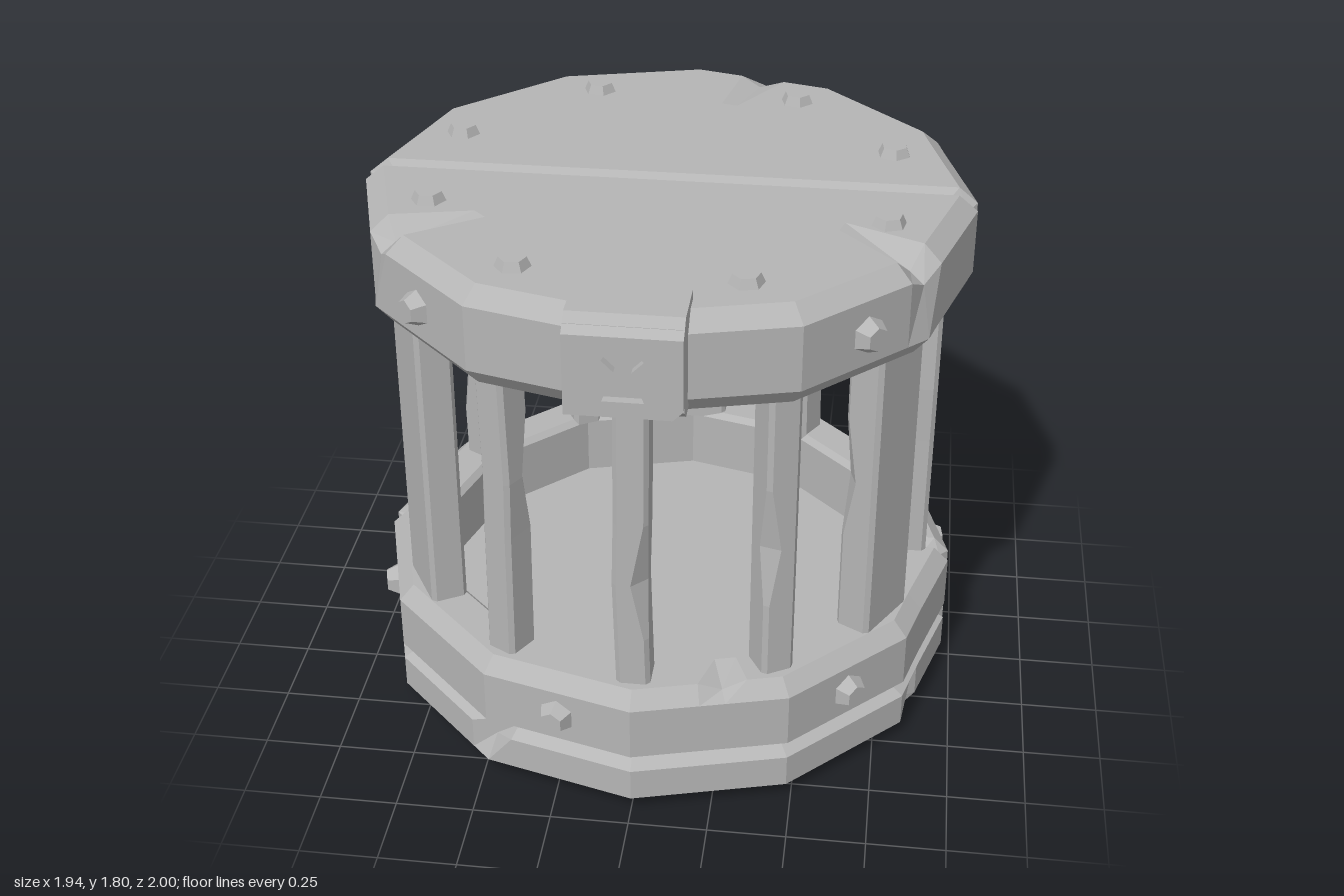
import * as THREE from 'three';

const CENTER_Z = -0.03;   // axis of the drum
const BAR_RADIUS = 0.83;
const rad = THREE.MathUtils.degToRad;

const iron = new THREE.MeshStandardMaterial({ color: 0xb5b5b5 });
iron.name = 'iron';

function add(parent, name, geometry) {
  const flat = geometry.index ? geometry.toNonIndexed() : geometry;
  flat.computeVertexNormals();
  const mesh = new THREE.Mesh(flat, iron);
  mesh.name = name;
  parent.add(mesh);
  return mesh;
}

// Skin over a list of equally long cross-sections
function loft(sections) {
  const n = sections[0].length;
  const index = [];
  for (let i = 0; i < sections.length - 1; i++) {
    for (let j = 0; j < n - 1; j++) {
      const a = i * n + j, b = a + n;
      index.push(a, a + 1, b, a + 1, b + 1, b);
    }
  }
  const geometry = new THREE.BufferGeometry();
  geometry.setAttribute('position', new THREE.Float32BufferAttribute(sections.flat(2), 3));
  geometry.setIndex(index);
  return geometry;
}

// Half of a twelve-sided drum. Profile points are [radius, y, drop at the seam];
// chips are [angle, profile index, radius change, y change].
function halfDrum(profile, chips) {
  const angles = new Set([-90, -60, -30, 0, 30, 60, 90]);
  for (const [a] of chips) [a - 5, a, a + 5].forEach((v) => angles.add(v));
  const sections = [...angles].sort((p, q) => p - q).map((a) => {
    const side = Math.cos(rad(15)) / Math.cos(rad((((a % 30) + 30) % 30) - 15));
    return profile.map(([r, y], j) => {
      for (const [ca, cj, dr, dy] of chips) {
        if (ca === a && cj === j) { r += dr; y += dy; }
      }
      return [r * side * Math.sin(rad(a)), y, Math.max(r * side * Math.cos(rad(a)), 0.03)];
    });
  });
  // V-shaped groove where the halves meet
  const seam = (s) => profile.map(([r, y, drop]) => [s * (r > 0.85 ? r - 0.03 : r), y - drop, 0]);
  return loft([seam(-1), ...sections, seam(1)]);
}

function drum(parent, name, profile, frontChips, backChips) {
  const group = new THREE.Group();
  group.name = name;
  group.position.z = CENTER_Z;
  add(group, name + 'FrontHalf', halfDrum(profile, frontChips));
  add(group, name + 'BackHalf', halfDrum(profile, backChips)).rotation.y = Math.PI;
  parent.add(group);
}

// Bar with bevelled corners, one of them chipped part-way up
function barGeometry(hw, hd, corner, chipY, sway) {
  const section = (y, chip, dx) => {
    const c = [0.014, 0.014, 0.014, 0.014];
    c[corner] += chip;
    const p = [
      [-hw + c[0], hd], [hw - c[1], hd], [hw, hd - c[1]], [hw, -hd + c[2]],
      [hw - c[2], -hd], [-hw + c[3], -hd], [-hw, -hd + c[3]], [-hw, hd - c[0]],
    ];
    return [...p, p[0]].map(([x, z]) => [x + dx, y, z]);
  };
  return loft([
    section(0.43, 0, 0), section(chipY - 0.2, 0, sway * 0.5),
    section(chipY, 0.035, sway), section(chipY + 0.22, 0, sway * 0.4), section(1.47, 0, 0),
  ]);
}

function lock(parent) {
  const group = new THREE.Group();
  group.name = 'lock';
  // Body, drawn from the side and extruded across
  const body = new THREE.Shape();
  [[0.78, 1.74], [0.78, 1.8], [0.945, 1.8], [0.972, 1.775], [0.972, 1.51], [0.93, 1.475], [0.8, 1.475]]
    .forEach(([z, y], i) => (i ? body.lineTo(-z, y) : body.moveTo(-z, y)));
  const bodyGeometry = new THREE.ExtrudeGeometry(body, { depth: 0.34, bevelEnabled: false });
  bodyGeometry.rotateY(Math.PI / 2).translate(-0.17, 0, 0);
  add(group, 'lockBody', bodyGeometry);

  // Front plate with the keyhole cut through, top and bottom edges sloped
  const plate = new THREE.Shape();
  [[-0.17, 1.5], [0.14, 1.5], [0.17, 1.53], [0.17, 1.775], [-0.17, 1.775]]
    .forEach(([x, y], i) => (i ? plate.lineTo(x, y) : plate.moveTo(x, y)));
  const hole = new THREE.Path();
  [[-0.06, 1.55], [-0.025, 1.645], [-0.06, 1.68], [-0.03, 1.725], [0, 1.735],
    [0.03, 1.725], [0.06, 1.68], [0.025, 1.645], [0.06, 1.55]]
    .forEach(([x, y], i) => (i ? hole.lineTo(x, y) : hole.moveTo(x, y)));
  plate.holes.push(hole);
  const plateGeometry = new THREE.ExtrudeGeometry(plate, { depth: 0.03, bevelEnabled: false });
  const pos = plateGeometry.attributes.position;
  for (let i = 0; i < pos.count; i++) {
    if (pos.getZ(i) > 0.01 && pos.getY(i) > 1.77) pos.setY(i, 1.755);
  }
  plateGeometry.translate(0, 0, 0.97);
  add(group, 'lockPlate', plateGeometry);
  parent.add(group);
}

export function createModel() {
  const model = new THREE.Group();
  model.name = 'cage';

  // Base: bottom slab and rim with a waist between them, floor inside
  drum(model, 'base', [
    [0, 0.22, 0], [0.78, 0.22, 0], [0.78, 0.43, 0], [0.8, 0.45, 0.03], [0.92, 0.45, 0.03],
    [0.97, 0.4, 0], [0.97, 0.22, 0], [0.92, 0.19, 0], [0.97, 0.16, 0], [0.97, 0.05, 0],
    [0.91, 0, 0], [0, 0, 0],
  ], [[-30, 8, -0.05, -0.03], [65, 9, -0.05, 0.02], [18, 4, 0, -0.03]],
  [[-60, 6, -0.05, 0], [30, 9, -0.05, 0.02], [45, 5, -0.03, -0.02]]);

  // Lid: hollow underneath
  drum(model, 'lid', [
    [0, 1.77, 0.03], [0.64, 1.77, 0.03], [0.91, 1.77, 0.03], [0.97, 1.72, 0.02], [0.97, 1.51, 0],
    [0.92, 1.45, 0], [0.8, 1.45, 0], [0.78, 1.47, 0], [0.78, 1.7, 0], [0, 1.7, 0],
  ], [[60, 2, -0.02, -0.06], [60, 3, -0.03, -0.04], [-60, 2, -0.02, -0.06], [-60, 3, -0.03, -0.04]],
  [[-15, 2, -0.03, -0.02], [-60, 4, -0.04, 0.03], [30, 3, -0.02, -0.03]]);

  // Twelve bars, every fourth one wide
  for (let i = 0; i < 12; i++) {
    const wide = i % 4 === 2;
    const geometry = barGeometry(wide ? 0.122 : 0.054, 0.06, (i * 3 + 1) % 4,
      0.82 + ((i * 5) % 4) * 0.09, wide ? 0 : ((i % 3) - 1) * 0.01);
    const bar = add(model, wide ? 'wideBar' : 'bar', geometry);
    const a = rad(i * 30);
    bar.position.set(BAR_RADIUS * Math.sin(a), 0, BAR_RADIUS * Math.cos(a) + CENTER_Z);
    bar.rotation.y = a;
  }

  // Bolts around the rims
  const sideBolt = (angle, y) => {
    const a = rad(angle);
    const geometry = new THREE.CylinderGeometry(0.038, 0.068, 0.06, 6);
    geometry.rotateX(Math.PI / 2).rotateY(a);
    const bolt = add(model, 'sideBolt', geometry);
    bolt.position.set(0.95 * Math.sin(a), y, 0.95 * Math.cos(a) + CENTER_Z);
  };
  for (let a = 45; a < 360; a += 90) sideBolt(a, 1.61);
  for (let a = 45; a < 405; a += 60) sideBolt(a, 0.31);

  // Bolts on the lid
  const lidBolts = [[0.7, -0.29], [0.36, -0.69], [-0.32, -0.71], [-0.71, -0.29],
    [-0.71, 0.23], [-0.37, 0.64], [0.31, 0.66], [0.7, 0.23]];
  lidBolts.forEach(([x, z], i) => {
    const bolt = add(model, 'lidBolt', new THREE.CylinderGeometry(0.042, 0.06, 0.04, 6));
    bolt.position.set(x, 1.78, z);
    bolt.rotation.y = 0.15 + i * 0.1;
  });

  lock(model);
  return model;
}
